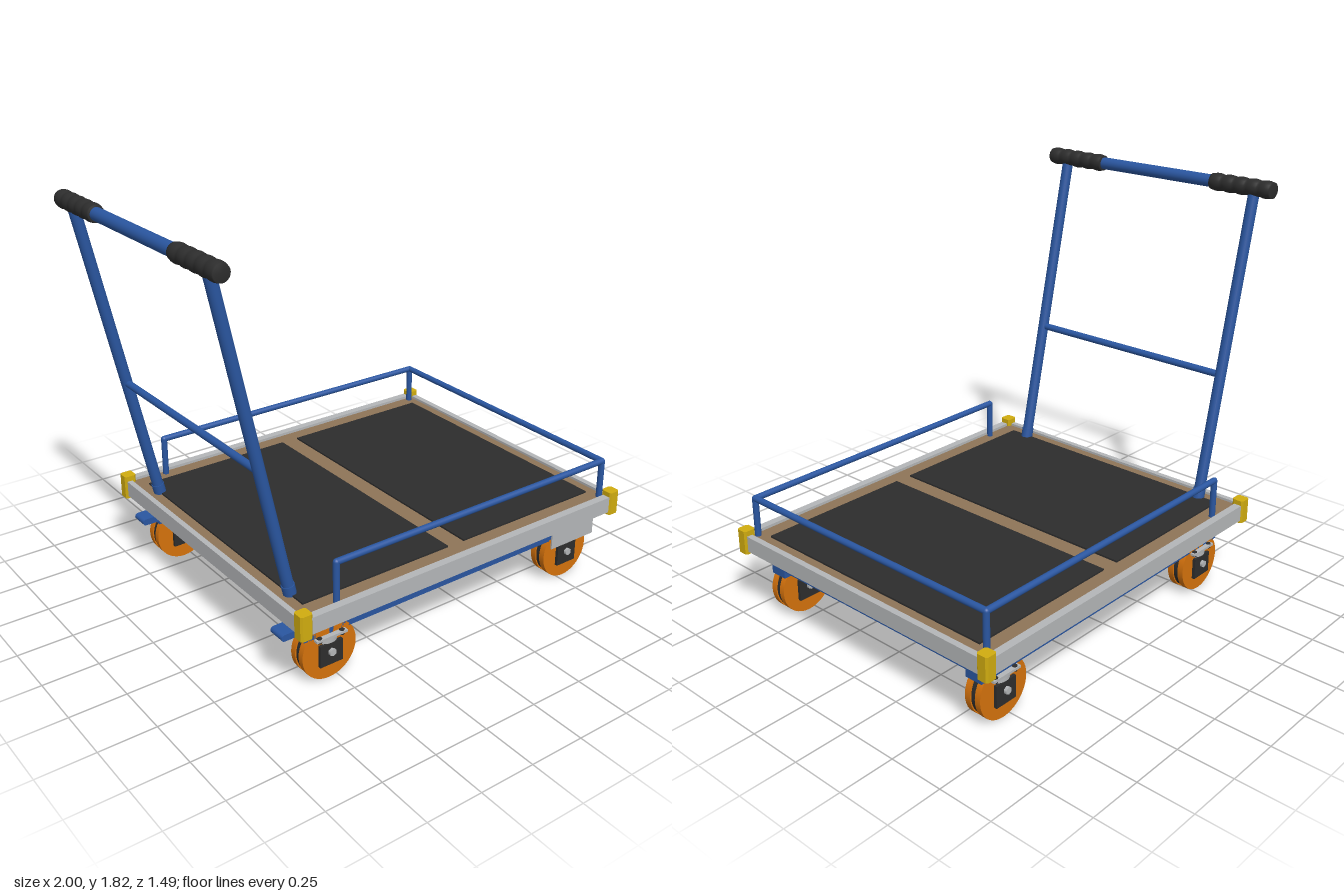
import * as THREE from 'three';

const mat = (name, color) => {
  const m = new THREE.MeshStandardMaterial({ color });
  m.name = name;
  return m;
};

export function createModel() {
  const blue = mat('blue paint', 0x2a56a0);
  const black = mat('black rubber', 0x2d2d2d);
  const wood = mat('wood', 0x8e7458);
  const metal = mat('light metal', 0xb4b6b8);
  const yellow = mat('yellow bumper', 0xd0ac10);
  const orange = mat('orange wheel', 0xd5720c);

  const model = new THREE.Group();
  model.name = 'platformCart';

  const add = (name, geometry, material, x, y, z, parent = model) => {
    const mesh = new THREE.Mesh(geometry, material);
    mesh.name = name;
    mesh.position.set(x, y, z);
    parent.add(mesh);
    return mesh;
  };
  const box = (name, material, x0, x1, y0, y1, z0, z1, parent) =>
    add(name, new THREE.BoxGeometry(x1 - x0, y1 - y0, z1 - z0), material,
      (x0 + x1) / 2, (y0 + y1) / 2, (z0 + z1) / 2, parent);
  const UP = new THREE.Vector3(0, 1, 0);
  // round bar between two points
  const bar = (name, a, b, r, material = blue, parent = model, sides = 20) => {
    const p = new THREE.Vector3(...a), q = new THREE.Vector3(...b);
    const d = q.clone().sub(p);
    const mesh = add(name, new THREE.CylinderGeometry(r, r, d.length(), sides), material, 0, 0, 0, parent);
    mesh.position.copy(p).add(q).multiplyScalar(0.5);
    mesh.quaternion.setFromUnitVectors(UP, d.normalize());
    return mesh;
  };

  // deck board and rubber mats
  box('deckBoard', wood, -0.715, 0.965, 0.335, 0.392, -0.71, 0.71);
  box('backMat', black, -0.66, 0.08, 0.392, 0.4, -0.625, 0.625);
  box('frontMat', black, 0.167, 0.907, 0.392, 0.4, -0.625, 0.625);

  // metal edging and corner bumpers
  for (const s of [-1, 1]) {
    const z = s * 0.72;
    box('sideEdging', metal, -0.73, 0.98, 0.33, 0.405, z - 0.018, z + 0.018);
    for (const x of [-0.72, 0.967]) {
      const shape = new THREE.Shape();
      const h = 0.028, c = 0.008;
      shape.moveTo(-h + c, -h);
      [[h - c, -h], [h, -h + c], [h, h - c], [h - c, h], [-h + c, h], [-h, h - c], [-h, -h + c]]
        .forEach(([u, v]) => shape.lineTo(u, v));
      const g = new THREE.ExtrudeGeometry(shape, { depth: 0.11, bevelEnabled: false });
      g.rotateX(-Math.PI / 2);
      add('cornerBumper', g, yellow, x, 0.317, s * 0.717);
    }
  }
  box('backEdging', metal, -0.738, -0.713, 0.33, 0.403, -0.71, 0.71);
  box('frontEdging', metal, 0.957, 0.985, 0.33, 0.403, -0.71, 0.71);
  box('labelPlate', metal, 0.605, 0.86, 0.245, 0.33, 0.715, 0.722);

  // frame under the deck
  for (const s of [-1, 1]) {
    box('sideBeam', blue, -0.66, 0.907, 0.217, 0.335, s * 0.59 - 0.042, s * 0.59 + 0.042);
    box('pedal', blue, -0.735, -0.64, 0.245, 0.275, s * 0.57 - 0.04, s * 0.57 + 0.04);
    bar('pedalEnd', [-0.735, 0.26, s * 0.57 - 0.04], [-0.735, 0.26, s * 0.57 + 0.04], 0.015);
  }
  for (const x of [-0.61, 0.12, 0.86])
    box('crossBeam', blue, x - 0.042, x + 0.042, 0.245, 0.335, -0.56, 0.56);

  // low rail around three sides
  const railY = 0.57, railR = 0.014, railZ = 0.683, x0 = -0.54, x1 = 0.93;
  for (const z of [-railZ, railZ]) {
    bar('sideRail', [x0, railY, z], [x1, railY, z], railR);
    for (const x of [x0, x1]) {
      bar('railPost', [x, 0.38, z], [x, railY, z], railR);
      add('railCorner', new THREE.SphereGeometry(railR, 16, 10), blue, x, railY, z);
    }
  }
  bar('frontRail', [x1, railY, -railZ], [x1, railY, railZ], railR);

  // push handle
  const top = [-0.96, 1.788], foot = [-0.652, 0.38];
  const at = (t, z) => [foot[0] + (top[0] - foot[0]) * t, foot[1] + (top[1] - foot[1]) * t, z];
  for (const z of [-0.53, 0.53]) {
    bar('handleUpright', at(0, z), at(1, z), 0.025);
    bar('handleSocket', at(-0.02, z), at(0.042, z), 0.028);
  }
  bar('handleCrossBar', at(0.415, -0.53), at(0.415, 0.53), 0.016);
  bar('handleBar', [...top, -0.6], [...top, 0.6], 0.028);

  // ribbed grips
  const gripLength = 0.315, ribs = 5;
  const profile = [new THREE.Vector2(0, 0)];
  for (let i = 0; i <= ribs * 8; i++) {
    const t = i / (ribs * 8);
    profile.push(new THREE.Vector2(0.035 + 0.005 * Math.abs(Math.sin(t * ribs * Math.PI)), t * gripLength));
  }
  profile.push(new THREE.Vector2(0, gripLength));
  const gripGeometry = new THREE.LatheGeometry(profile, 24);
  gripGeometry.translate(0, -gripLength / 2, 0).rotateX(Math.PI / 2);
  for (const s of [-1, 1]) add('grip', gripGeometry, black, top[0], top[1], s * 0.467);

  // casters
  for (const x of [-0.538, 0.785]) for (const s of [-1, 1]) {
    const caster = new THREE.Group();
    caster.name = 'caster';
    caster.position.set(x, 0.14, s * 0.592);
    model.add(caster);
    bar('wheelCore', [0, 0, -0.016], [0, 0, 0.016], 0.125, black, caster, 40);
    for (const k of [-1, 1]) {
      bar('wheelDisc', [0, 0, k * 0.012], [0, 0, k * 0.04], 0.131, orange, caster, 40);
      box('forkPlate', black, -0.055, 0.055, -0.06, 0.04, k * 0.048 - 0.007, k * 0.048 + 0.007, caster);
      bar('axleNut', [0, 0, k * 0.054], [0, 0, k * 0.068], 0.017, metal, caster, 6);
      for (const bx of [-0.055, 0.055])
        bar('mountBolt', [bx, 0.058, k * 0.048], [bx, 0.08, k * 0.048], 0.012, black, caster, 6);
    }
    box('mountPlate', metal, -0.075, 0.075, 0.066, 0.077, -0.062, 0.062, caster);
    bar('swivel', [0, 0.04, 0], [0, 0.068, 0], 0.055, metal, caster, 28);
  }
  return model;
}
